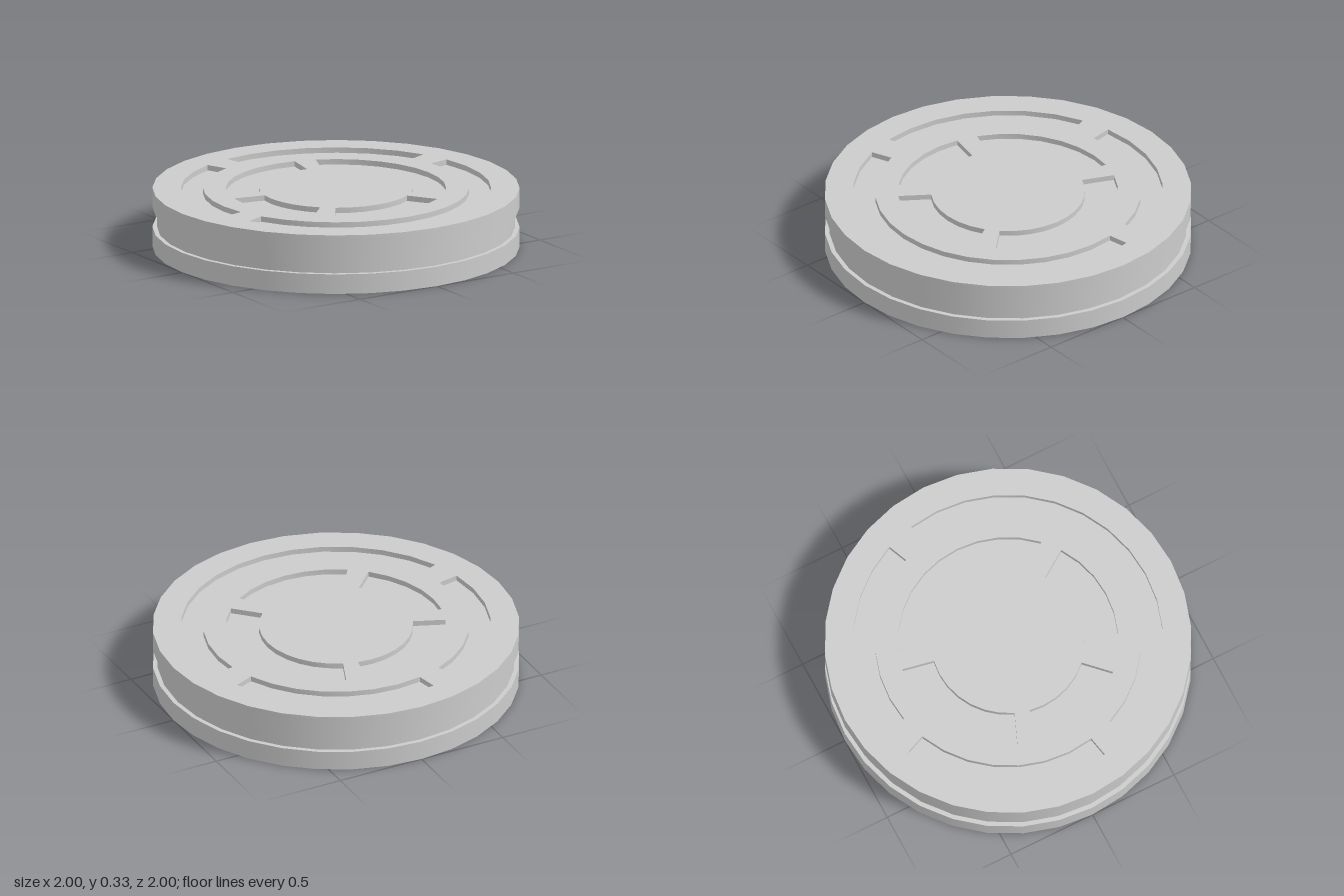
import * as THREE from 'three';
import { toCreasedNormals } from 'three/addons/utils/BufferGeometryUtils.js';

const SIDES = 32;
const STEP = (Math.PI * 2) / SIDES;
const HEIGHT = 0.33;
const POCKET_DEPTH = 0.03;

// Points on a ring, from one segment index to another
function arc(radius, from, to) {
  const points = [];
  for (let i = from; i <= to; i++) {
    points.push(new THREE.Vector2(Math.cos(i * STEP) * radius, Math.sin(i * STEP) * radius));
  }
  return points;
}

// Closed outline of a curved slot
function slot(inner, outer, from, to) {
  return new THREE.Path([...arc(outer, from, to), ...arc(inner, from, to).reverse()]);
}

export function createModel() {
  const group = new THREE.Group();
  const material = new THREE.MeshStandardMaterial({ color: 0xcccccc });

  function add(name, geometry, y) {
    const mesh = new THREE.Mesh(geometry, material);
    mesh.name = name;
    mesh.position.y = y;
    group.add(mesh);
  }

  function disc(name, radius, bottom, top) {
    const geometry = new THREE.CylinderGeometry(radius, radius, top - bottom, SIDES);
    add(name, geometry, (bottom + top) / 2);
  }

  // Stacked discs with a recessed band between them
  disc('baseDisc', 1, 0, 0.11);
  disc('recessedBand', 0.975, 0.11, 0.22);
  disc('topDisc', 1, 0.22, HEIGHT - POCKET_DEPTH);

  // Slotted face plate; the disc below forms the pocket floors
  const face = new THREE.Shape(arc(1, 0, SIDES - 1));
  const outerSlots = [[2, 9], [10, 17], [18, 33]];
  const innerSlots = [[-4, 6], [7, 14], [15, 20], [21, 27]];
  for (const [from, to] of outerSlots) face.holes.push(slot(0.725, 0.845, from, to));
  for (const [from, to] of innerSlots) face.holes.push(slot(0.42, 0.6, from, to));

  const plate = new THREE.ExtrudeGeometry(face, { depth: POCKET_DEPTH, bevelEnabled: false });
  plate.rotateX(-Math.PI / 2);
  add('slottedFacePlate', toCreasedNormals(plate, 0.5), HEIGHT - POCKET_DEPTH);

  return group;
}
